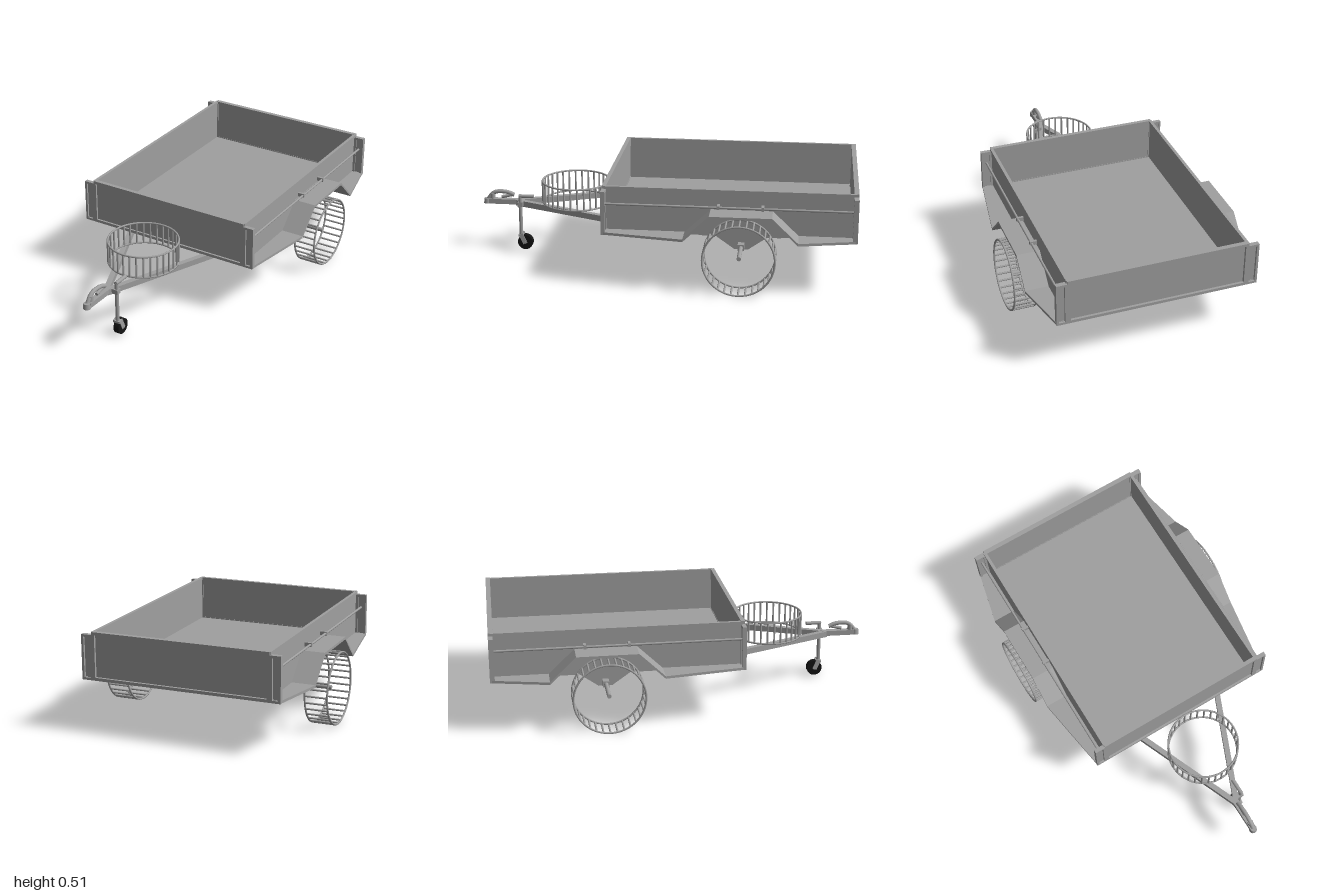
import * as THREE from 'three';

const steel = new THREE.MeshStandardMaterial({ color: 0xa0a0a0 });
steel.name = 'galvanised steel';
const rubber = new THREE.MeshStandardMaterial({ color: 0x141414 });
rubber.name = 'black rubber';

function add(parent, name, geometry, material = steel) {
  const mesh = new THREE.Mesh(geometry, material);
  mesh.name = name;
  parent.add(mesh);
  return mesh;
}

// Box given by its limits on each axis
function block(parent, name, [x0, x1], [y0, y1], [z0, z1]) {
  const mesh = add(parent, name, new THREE.BoxGeometry(Math.abs(x1 - x0), y1 - y0, z1 - z0));
  mesh.position.set((x0 + x1) / 2, (y0 + y1) / 2, (z0 + z1) / 2);
  return mesh;
}

// Round bar between two points
function rod(parent, name, a, b, radius, sides = 10) {
  const from = new THREE.Vector3(...a), to = new THREE.Vector3(...b);
  const dir = to.clone().sub(from);
  const mesh = add(parent, name, new THREE.CylinderGeometry(radius, radius, dir.length(), sides));
  mesh.position.copy(from).add(to).multiplyScalar(0.5);
  mesh.quaternion.setFromUnitVectors(new THREE.Vector3(0, 1, 0), dir.normalize());
  return mesh;
}

// Flat-sided solid through four-cornered sections, closed at both ends
function loft(sections) {
  const out = [];
  const quad = (a, b, c, d) => out.push(...a, ...b, ...c, ...a, ...c, ...d);
  for (let s = 0; s + 1 < sections.length; s++) {
    const a = sections[s], b = sections[s + 1];
    for (let i = 0; i < 4; i++) {
      const j = (i + 1) % 4;
      quad(a[i], a[j], b[j], b[i]);
    }
  }
  const first = sections[0], last = sections[sections.length - 1];
  quad(first[3], first[2], first[1], first[0]);
  quad(...last);
  const geometry = new THREE.BufferGeometry();
  geometry.setAttribute('position', new THREE.Float32BufferAttribute(out, 3));
  geometry.computeVertexNormals();
  return geometry;
}

// Rectangular border standing in the xy plane
function frame(parent, name, [x0, x1], [y0, y1], z, w) {
  block(parent, name + 'Bottom', [x0, x1], [y0, y0 + w], z);
  block(parent, name + 'Top', [x0, x1], [y1 - w, y1], z);
  block(parent, name + 'SideA', [x0, x0 + w], [y0 + w, y1 - w], z);
  block(parent, name + 'SideB', [x1 - w, x1], [y0 + w, y1 - w], z);
}

// Open drum of two rings joined by bars, axis along y
function cage(name, radius, height) {
  const group = new THREE.Group();
  group.name = name;
  for (const y of [-1, 1]) {
    const ring = add(group, 'ring', new THREE.TorusGeometry(radius, 0.005, 8, 64));
    ring.rotation.x = Math.PI / 2;
    ring.position.y = y * (height / 2 - 0.005);
  }
  const bars = 32;
  for (let i = 0; i < bars; i++) {
    const a = (i / bars) * Math.PI * 2;
    const x = Math.cos(a) * radius, z = Math.sin(a) * radius;
    rod(group, 'bar', [x, -height / 2 + 0.005, z], [x, height / 2 - 0.005, z], 0.005, 8);
  }
  return group;
}

function buildBody(root) {
  const body = new THREE.Group();
  body.name = 'cargoBox';
  root.add(body);
  block(body, 'floor', [-0.455, 0.455], [0.274, 0.284], [-0.99, 0.27]);

  // End panels with raised borders
  for (const [name, panel, rim] of [
    ['frontPanel', [0.258, 0.267], [0.256, 0.277]],
    ['rearPanel', [-0.987, -0.978], [-1, -0.976]],
  ]) {
    block(body, name, [-0.455, 0.455], [0.28, 0.51], panel);
    frame(body, name + 'Border', [-0.457, 0.457], [0.274, 0.515], rim, 0.015);
  }

  for (const s of [1, -1]) {
    block(body, 'sideWall', [s * 0.448, s * 0.456], [0.276, 0.505], [-0.99, 0.268]);
    block(body, 'sideTopRail', [s * 0.445, s * 0.461], [0.5, 0.514], [-0.99, 0.268]);

    // Corner posts
    for (const [panel, rim] of [[[0.262, 0.268], [0.256, 0.277]], [[-0.988, -0.982], [-1, -0.976]]]) {
      const x = s > 0 ? [0.457, 0.512] : [-0.512, -0.457];
      block(body, 'cornerPost', x, [0.28, 0.495], panel);
      frame(body, 'cornerPostBorder', x, [0.274, 0.5], rim, 0.012);
    }

    // Rope rail with its brackets
    rod(body, 'ropeRail', [s * 0.484, 0.43, -0.985], [s * 0.484, 0.43, 0.265], 0.006);
    for (const z of [-0.31, -0.53])
      block(body, 'railBracket', [s * 0.452, s * 0.492], [0.42, 0.44], [z - 0.007, z + 0.007]);

    // Mudguard: tapered side shelf rising over the wheel
    const stations = [
      [-0.99, 0.288, 0.512], [-0.71, 0.288, 0.575], [-0.58, 0.412, 0.575],
      [-0.27, 0.412, 0.575], [-0.14, 0.288, 0.575], [0.265, 0.288, 0.512],
    ];
    add(body, 'mudguard', loft(stations.map(([z, y, outer]) => {
      const t = 0.013, inner = 0.452;
      const ring = [[s * inner, y - t, z], [s * outer, y - t, z], [s * outer, y, z], [s * inner, y, z]];
      return s > 0 ? ring : ring.reverse();
    })));
  }
}

function buildChassis(root) {
  const chassis = new THREE.Group();
  chassis.name = 'chassis';
  root.add(chassis);

  for (const s of [1, -1]) {
    // Drawbar arm that bends into the straight frame rail
    const path = [[0, 0.82], [0.345, 0], [0.345, -0.835]];
    add(chassis, 'frameRail', loft(path.map(([x, z]) => {
      const a = s * (x - 0.015), b = s * (x + 0.015);
      const ring = [[a, 0.275, z], [b, 0.275, z], [b, 0.244, z], [a, 0.244, z]];
      return s > 0 ? ring : ring.reverse();
    })));

    // Axle bracket
    const shape = new THREE.Shape([
      [-0.62, 0.246], [-0.62, 0.235], [-0.55, 0.235], [-0.455, 0.168],
      [-0.385, 0.168], [-0.29, 0.235], [-0.22, 0.235], [-0.22, 0.246],
    ].map(([z, y]) => new THREE.Vector2(-z, y)));
    const bracket = add(chassis, 'axleBracket',
      new THREE.ExtrudeGeometry(shape, { depth: 0.018, bevelEnabled: false }));
    bracket.rotation.y = Math.PI / 2;
    bracket.position.x = s * 0.345 - 0.009;

    rod(chassis, 'stubAxle', [s * 0.39, 0.19, -0.42], [s * 0.557, 0.19, -0.42], 0.011, 16);
    const wheel = cage('wheel', 0.18, 0.125);
    wheel.rotation.z = Math.PI / 2;
    wheel.position.set(s * 0.539, 0.19, -0.42);
    chassis.add(wheel);
  }
  block(chassis, 'axleBeam', [-0.397, 0.397], [0.174, 0.206], [-0.436, -0.404]);

  // Basket on the drawbar
  const basket = cage('basket', 0.18, 0.125);
  basket.position.set(0, 0.338, 0.49);
  chassis.add(basket);
}

function buildCoupling(root) {
  const coupling = new THREE.Group();
  coupling.name = 'coupling';
  root.add(coupling);
  block(coupling, 'couplingBar', [-0.016, 0.016], [0.25, 0.277], [0.79, 0.97]);
  const head = add(coupling, 'couplingHead', new THREE.CylinderGeometry(0.017, 0.02, 0.028, 20));
  head.position.set(0, 0.264, 0.98);
  const curve = new THREE.CatmullRomCurve3([
    [0.975, 0.272], [0.955, 0.3], [0.93, 0.315], [0.87, 0.315], [0.83, 0.3],
  ].map(([z, y]) => new THREE.Vector3(0, y, z)));
  add(coupling, 'couplingLever', new THREE.TubeGeometry(curve, 24, 0.011, 10));
  rod(coupling, 'leverGrip', [0, 0.302, 0.835], [0, 0.287, 0.9], 0.009);
  rod(coupling, 'leverPivot', [0, 0.27, 0.95], [0, 0.305, 0.95], 0.014, 14);
}

function buildJockeyWheel(root) {
  const jockey = new THREE.Group();
  jockey.name = 'jockeyWheel';
  root.add(jockey);
  const x = 0.042;
  rod(jockey, 'jockeyPost', [x, 0.085, 0.79], [x, 0.31, 0.79], 0.01, 16);
  block(jockey, 'postClamp', [0.01, 0.055], [0.25, 0.275], [0.776, 0.804]);
  rod(jockey, 'crankArm', [x, 0.308, 0.797], [x, 0.308, 0.715], 0.01);
  block(jockey, 'forkBridge', [x - 0.02, x + 0.02], [0.083, 0.095], [0.775, 0.803]);
  for (const s of [-1, 1]) {
    const fork = block(jockey, 'forkArm', [x + s * 0.019 - 0.002, x + s * 0.019 + 0.002], [0.042, 0.1], [0.766, 0.79]);
    fork.rotation.x = 0.4;
  }
  const tyre = add(jockey, 'jockeyTyre', new THREE.CylinderGeometry(0.041, 0.041, 0.03, 28), rubber);
  tyre.rotation.z = Math.PI / 2;
  tyre.position.set(x, 0.051, 0.767);
  rod(jockey, 'jockeyAxle', [x - 0.022, 0.051, 0.767], [x + 0.022, 0.051, 0.767], 0.008, 12);
}

export function createModel() {
  const root = new THREE.Group();
  root.name = 'trailer';
  buildBody(root);
  buildChassis(root);
  buildCoupling(root);
  buildJockeyWheel(root);
  return root;
}
